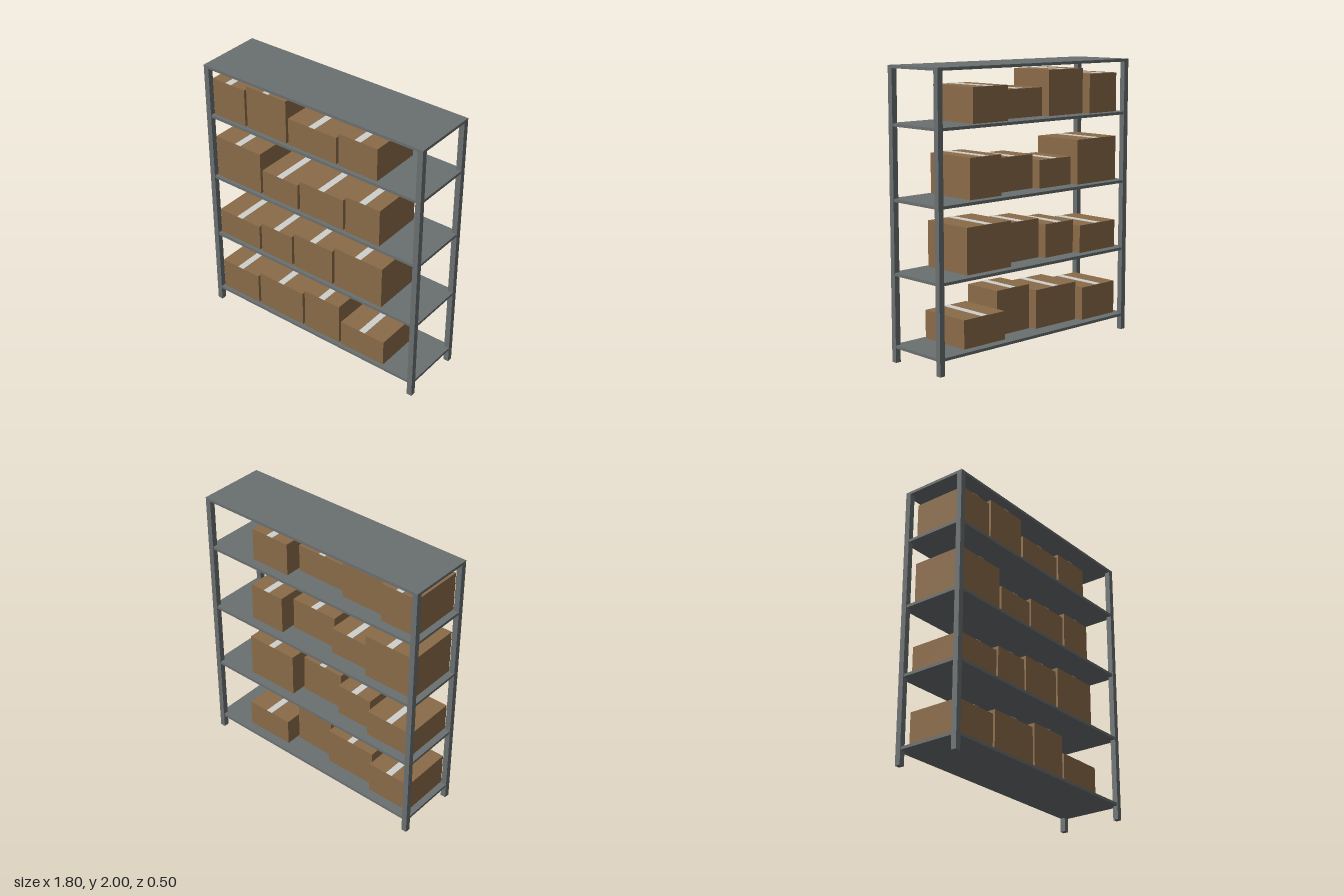
import * as THREE from 'three';

const metal = new THREE.MeshStandardMaterial({ color: 0x6a6f70 });
metal.name = 'grey metal';
const cardboard = new THREE.MeshStandardMaterial({ color: 0x8a6b48 });
cardboard.name = 'brown cardboard';
const tape = new THREE.MeshStandardMaterial({ color: 0xd0d0cc });
tape.name = 'pale tape';

const W = 1.8, H = 2, D = 0.5, POST = 0.04, PLATE = 0.02;

// Adds a named block whose underside rests at height y
function block(parent, name, material, w, h, d, x, y, z) {
  const mesh = new THREE.Mesh(new THREE.BoxGeometry(w, h, d), material);
  mesh.name = name;
  mesh.position.set(x, y + h / 2, z);
  parent.add(mesh);
  return mesh;
}

// Carton with a strip of tape along the middle of its lid
function carton(w, h, d) {
  const group = new THREE.Group();
  group.name = 'carton';
  block(group, 'cartonBody', cardboard, w, h, d, 0, 0, 0);
  block(group, 'tapeStrip', tape, 0.05, 0.003, d, 0, h, 0);
  return group;
}

export function createModel() {
  const rack = new THREE.Group();
  rack.name = 'storageRack';

  // Corner posts, standing under the top plate
  for (const sx of [-1, 1]) {
    for (const sz of [-1, 1]) {
      block(rack, 'post', metal, POST, H - PLATE, POST,
        sx * (W - POST) / 2, 0, sz * (D - POST) / 2);
    }
  }
  block(rack, 'topPlate', metal, W, PLATE, D, 0, H - PLATE, 0);

  // Four shelves, each with a row of four cartons in cycling sizes
  for (let row = 0; row < 4; row++) {
    const top = 0.12 + row * 0.5;
    block(rack, 'shelf', metal, W - 0.006, PLATE, D - 0.006, 0, top - PLATE, 0);

    let x = -0.85;
    for (let i = 0; i < 4; i++) {
      const w = 0.28 + 0.03 * ((2 + row + 2 * i) % 5);
      const h = 0.2 + 0.04 * ((1 + 3 * row + i) % 4);
      const d = 0.3 + 0.05 * ((2 + 2 * i) % 3);
      const box = carton(w, h, d);
      box.position.set(x + w / 2, top, 0.22 - d / 2); // fronts line up
      rack.add(box);
      x += w + 0.02;
    }
  }
  return rack;
}
